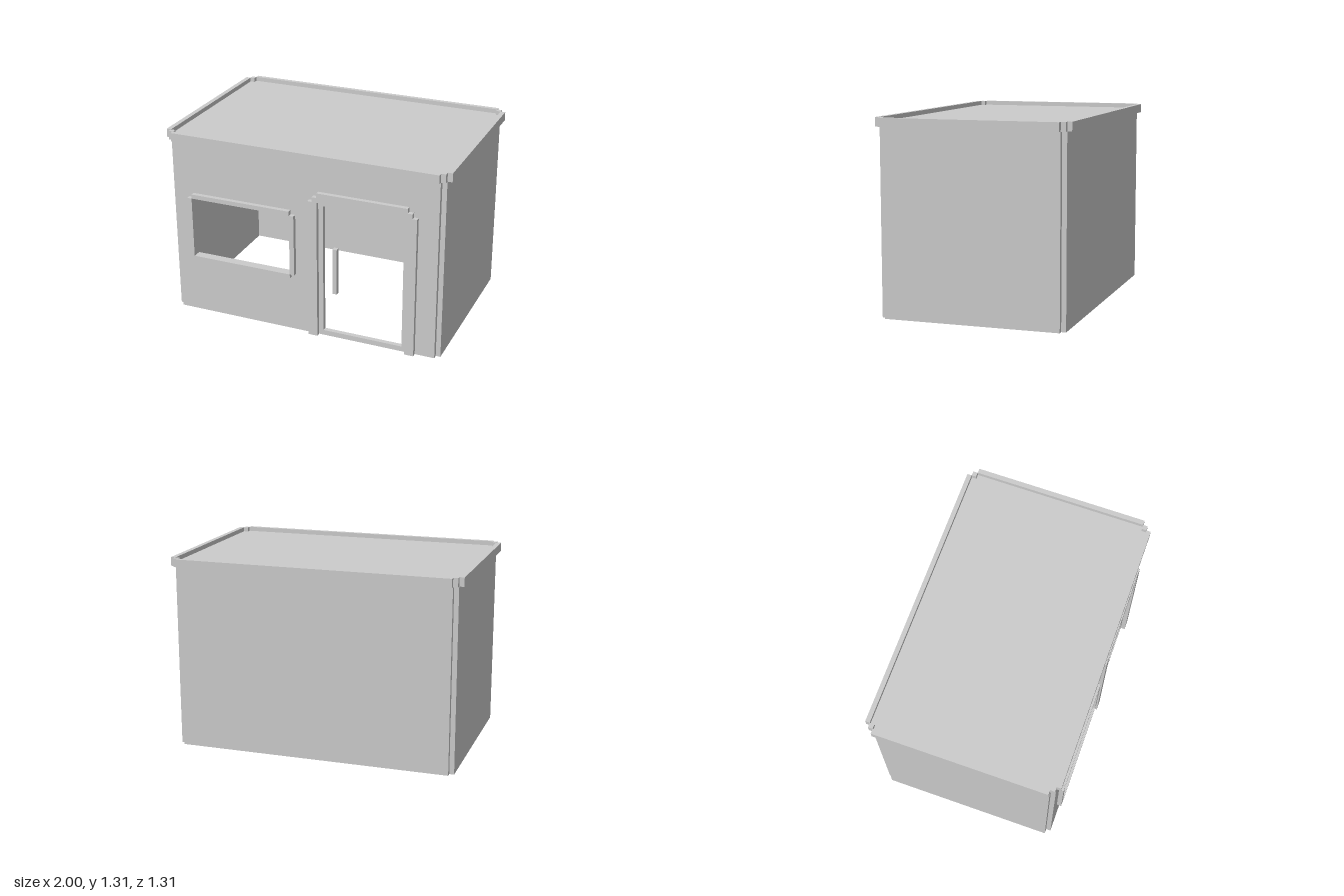
import * as THREE from 'three';

const material = new THREE.MeshStandardMaterial({ color: 0xcccccc, flatShading: true });

// Plan lines: wall inner, wall outer and trim outer faces
const X = [0.935, 0.967, 1.0];
const Z = [0.592, 0.624, 0.655];
const ROOF_BASE = 1.25, ROOF_TOP = 1.28, TOP = 1.31;

// Box given by its extents on each axis
function block(parent, name, [x0, x1], [y0, y1], [z0, z1]) {
  const mesh = new THREE.Mesh(new THREE.BoxGeometry(x1 - x0, y1 - y0, z1 - z0), material);
  mesh.position.set((x0 + x1) / 2, (y0 + y1) / 2, (z0 + z1) / 2);
  mesh.name = name;
  parent.add(mesh);
  return mesh;
}

// Range on the positive or negative side of an axis
const side = (s, a, b) => (s > 0 ? [a, b] : [-b, -a]);

function rectangle(Type, x0, x1, y0, y1) {
  return new Type([[x0, y0], [x1, y0], [x1, y1], [x0, y1]].map(p => new THREE.Vector2(...p)));
}

function group(parent, name) {
  const g = new THREE.Group();
  g.name = name;
  parent.add(g);
  return g;
}

export function createModel() {
  const model = new THREE.Group();
  model.name = 'building';

  const win = { x: [-0.803, -0.083], y: [0.427, 0.858] };
  const door = { x: [0.147, 0.706], y: [0.036, 0.954] };

  // Front wall with window and door openings
  const shape = rectangle(THREE.Shape, -X[0], X[0], 0, ROOF_BASE);
  for (const o of [win, door]) shape.holes.push(rectangle(THREE.Path, ...o.x, ...o.y));
  const front = new THREE.Mesh(
    new THREE.ExtrudeGeometry(shape, { depth: Z[1] - Z[0], bevelEnabled: false }), material);
  front.position.z = Z[0];
  front.name = 'frontWall';
  model.add(front);

  // Plain back and side walls, meeting in notched corners
  block(model, 'backWall', [-X[0], X[0]], [0, ROOF_BASE], [-Z[1], -Z[0]]);
  for (const s of [1, -1]) {
    block(model, s > 0 ? 'leftWall' : 'rightWall', side(s, X[0], X[1]), [0, ROOF_BASE], [-Z[0], Z[0]]);
  }

  // Roof slab with the corners cut out
  const plan = [];
  for (const [sx, sz] of [[1, 1], [-1, 1], [-1, -1], [1, -1]]) {
    const corner = [[X[1], Z[0]], [X[0], Z[0]], [X[0], Z[1]]];
    if (sx * sz < 0) corner.reverse();
    for (const [x, z] of corner) plan.push(new THREE.Vector2(sx * x, sz * z));
  }
  const roof = new THREE.Mesh(
    new THREE.ExtrudeGeometry(new THREE.Shape(plan), { depth: ROOF_TOP - ROOF_BASE, bevelEnabled: false }),
    material);
  roof.rotation.x = -Math.PI / 2;
  roof.position.y = ROOF_BASE;
  roof.name = 'roof';
  model.add(roof);

  // Parapet trim with a small block in each corner
  const parapet = group(model, 'parapet');
  const rim = [ROOF_BASE, TOP];
  for (const s of [1, -1]) {
    block(parapet, s > 0 ? 'frontTrim' : 'backTrim', [-X[0], X[0]], rim, side(s, Z[1], Z[2]));
    block(parapet, s > 0 ? 'leftTrim' : 'rightTrim', side(s, X[1], X[2]), rim, [-Z[0], Z[0]]);
    for (const t of [1, -1]) {
      block(parapet, 'cornerBlock', side(s, X[0], X[1]), rim, side(t, Z[0], Z[1]));
    }
  }

  // Window surround
  const face = [Z[1], Z[2]];
  const w = 0.03;
  const windowFrame = group(model, 'windowFrame');
  block(windowFrame, 'windowHead', win.x, [win.y[1], win.y[1] + w], face);
  block(windowFrame, 'windowSill', win.x, [win.y[0] - w, win.y[0]], face);
  block(windowFrame, 'windowJamb', [win.x[0] - 0.033, win.x[0]], win.y, face);
  block(windowFrame, 'windowJamb', [win.x[1], win.x[1] + 0.033], win.y, face);

  // Door surround with a stepped head
  const doorFrame = group(model, 'doorFrame');
  block(doorFrame, 'doorPilaster', [0.05, 0.115], [0, 0.987], face);
  block(doorFrame, 'doorPilaster', [0.737, 0.8], [0, 0.987], face);
  block(doorFrame, 'doorStep', [0.083, 0.115], [0.987, 1.02], face);
  block(doorFrame, 'doorStep', [0.737, 0.769], [0.987, 1.02], face);
  block(doorFrame, 'doorHead', [0.115, 0.737], [0.987, 1.052], face);

  // Upright door handle
  block(model, 'doorHandle', [0.214, 0.244], [0.328, 0.656], [Z[0], Z[1]]);

  return model;
}
